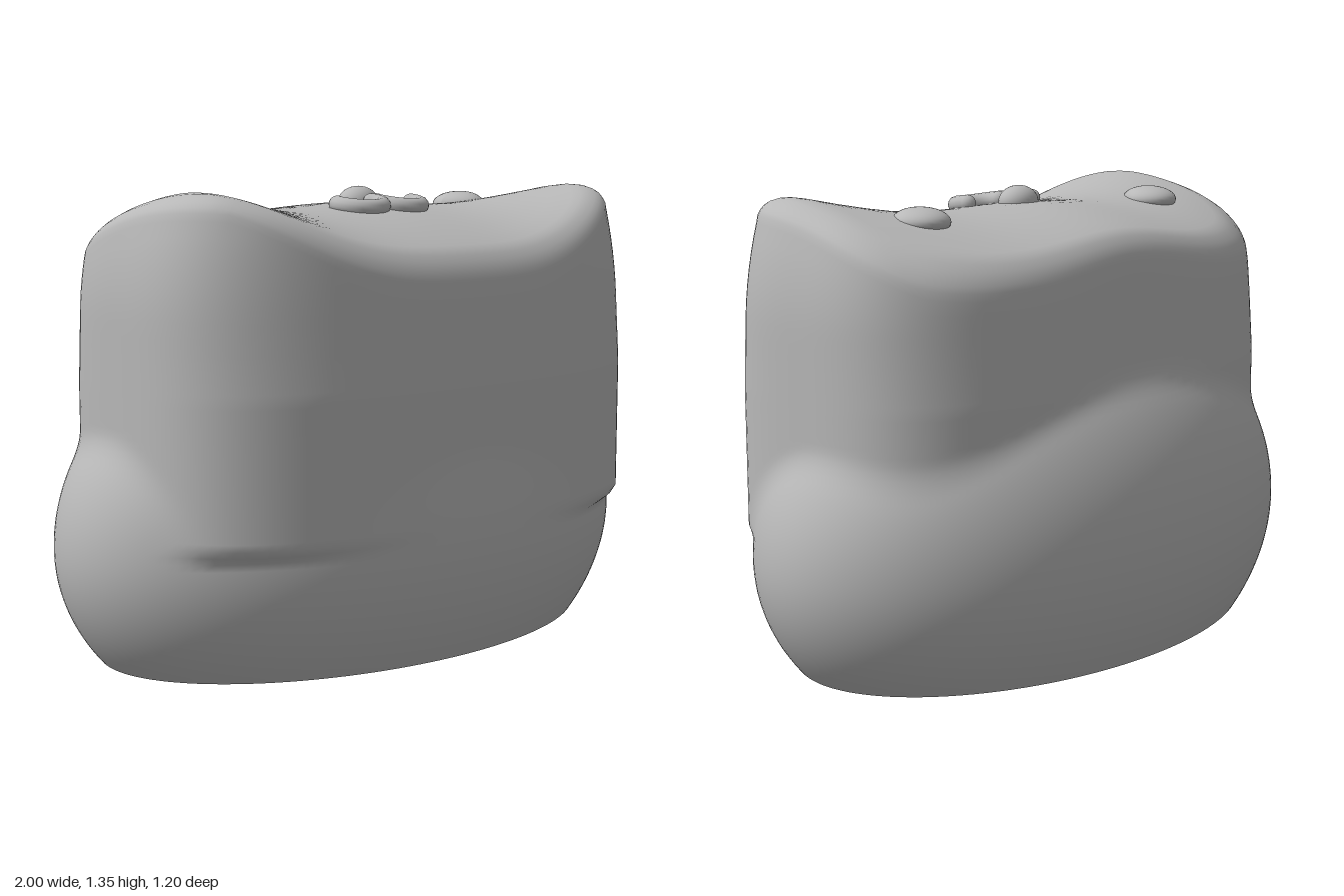
import * as THREE from 'three';

const SEG = 144;
const { smoothstep, lerp, clamp } = THREE.MathUtils;

// Height of the saddle-like face on top: high front corners, low back corners
function faceHeight(x, z) {
  const t = Math.min(1, (x / 0.75) ** 2);
  const valley = 0.015 * Math.sin(Math.PI * Math.min(1, Math.abs(x) / 0.75)) ** 2;
  return 1.3 - 0.5 * z * z + t * (0.01 + 0.3 * z) - valley;
}

// Distance from the axis to the wall: the round base softly joined to the boxy head
function wallRadius(c, s, y) {
  const h = (y - 0.33) / (y < 0.33 ? 0.65 : 0.7);
  const base = Math.sqrt(Math.max(0.02, 1 - h * h)) / Math.hypot(c, s / 0.6);
  const grow = lerp(0.7, 1, smoothstep(y, 0.32, 0.39));
  const a = (0.89 - 0.035 * Math.max(0, (y - 1.0) / 0.26) ** 2) * grow;
  const b = (0.505 - 0.04 * Math.max(0, (y - 0.8) / 0.4)) * grow;
  let lo = 0, hi = 1.2;
  for (let i = 0; i < 24; i++) {
    const r = (lo + hi) / 2;
    const f = Math.abs(r * c / a) ** 3 + Math.abs((r * s - 0.065) / b) ** 3;
    if (f < 1) lo = r; else hi = r;
  }
  const blend = Math.max(0, 0.03 - Math.abs(base - lo));
  return Math.max(base, lo) + blend * blend / 0.12;
}

// Builds a closed-loop surface from rows of points
function loft(rows, flip) {
  const pos = rows.flat(2), index = [];
  for (let j = 0; j < rows.length - 1; j++) {
    for (let i = 0; i < SEG; i++) {
      const n = (i + 1) % SEG;
      const a = j * SEG + i, b = j * SEG + n, c = a + SEG, d = b + SEG;
      if (flip) index.push(a, b, c, c, b, d);
      else index.push(a, c, b, b, c, d);
    }
  }
  const g = new THREE.BufferGeometry();
  g.setAttribute('position', new THREE.Float32BufferAttribute(pos, 3));
  g.setIndex(index);
  g.computeVertexNormals();
  return g;
}

// Rows of the wall and the face, moved inwards by inset
function shellRows(inset) {
  const dirs = Array.from({ length: SEG }, (_, i) => {
    const t = i / SEG * Math.PI * 2;
    const v = new THREE.Vector2(Math.cos(t), 0.65 * Math.sin(t)).normalize();
    const r = wallRadius(v.x, v.y, 1.2);
    const rimY = faceHeight(v.x * r, v.y * r) - 0.08;
    return { c: v.x, s: v.y, rimY, rimR: wallRadius(v.x, v.y, rimY) - inset };
  });
  const rows = [];
  const wallRow = (yOf) => rows.push(dirs.map((d) => {
    const y = yOf(d), r = wallRadius(d.c, d.s, y) - inset;
    return [r * d.c, y, r * d.s];
  }));
  for (let j = 0; j <= 46; j++) wallRow(() => j * 0.02);
  for (let j = 1; j < 8; j++) wallRow((d) => lerp(0.92, d.rimY - inset, j / 8));
  // rounded edge, then the face closing towards its middle
  for (const k of [1, 0.995, 0.985, 0.97, 0.95, 0.92, 0.89, 0.85, 0.75, 0.65, 0.55, 0.45, 0.35, 0.25, 0.15, 0.07, 0.01]) {
    const q = clamp((k - 0.85) / 0.15, 0, 1);
    const drop = 0.08 * (1 - Math.sqrt(1 - q * q)) + inset;
    rows.push(dirs.map((d) => {
      const x = k * d.rimR * d.c, z = lerp(0.06, d.rimR * d.s, k);
      return [x, faceHeight(x, z) - drop, z];
    }));
  }
  rows.push(dirs.map(() => [0, faceHeight(0, 0.06) - inset, 0.06]));
  return rows;
}

export function createModel() {
  const group = new THREE.Group();
  group.name = 'hollowBearHead';
  const clay = new THREE.MeshStandardMaterial({ color: 0xb8b8b8 });
  clay.name = 'plain grey';
  const add = (name, geometry) => {
    const mesh = new THREE.Mesh(geometry, clay);
    mesh.name = name;
    group.add(mesh);
    return mesh;
  };

  // Outer skin, inner cavity and the flat rim between them
  const outer = shellRows(0), inner = shellRows(0.08);
  add('outerShell', loft(outer, false));
  add('innerCavity', loft(inner, true));
  add('bottomRim', loft([inner[0], outer[0]], false));

  // Eyes, slightly narrowed towards the front
  for (const side of [-1, 1]) {
    const g = new THREE.SphereGeometry(1, 28, 18);
    const p = g.attributes.position;
    for (let i = 0; i < p.count; i++) {
      p.setX(i, p.getX(i) * (1 - 0.25 * Math.max(0, p.getZ(i))));
    }
    g.computeVertexNormals();
    const eye = add(side > 0 ? 'leftEye' : 'rightEye', g);
    eye.scale.set(0.084, 0.042, 0.09);
    eye.position.set(side * 0.525, faceHeight(0.525, -0.05) - 0.005, -0.05);
  }

  // Nose
  const nose = add('nose', new THREE.SphereGeometry(1, 28, 18));
  nose.scale.set(0.068, 0.05, 0.055);
  nose.position.set(0, 1.3, 0.045);

  // Mouth: two mirrored curls with round ends
  for (const side of [-1, 1]) {
    const pts = [];
    for (let i = 0; i <= 10; i++) {
      const t = lerp(-0.1, 1.08, i / 10) * Math.PI;
      const x = side * (0.078 - 0.072 * Math.cos(t)), z = 0.135 + 0.065 * Math.sin(t);
      pts.push(new THREE.Vector3(x, faceHeight(x, z) + 0.01, z));
    }
    const name = side > 0 ? 'leftMouthCurl' : 'rightMouthCurl';
    add(name, new THREE.TubeGeometry(new THREE.CatmullRomCurve3(pts), 30, 0.026, 12));
    for (const end of [pts[0], pts[10]]) {
      add(name + 'End', new THREE.SphereGeometry(0.026, 14, 10)).position.copy(end);
    }
  }
  return group;
}
